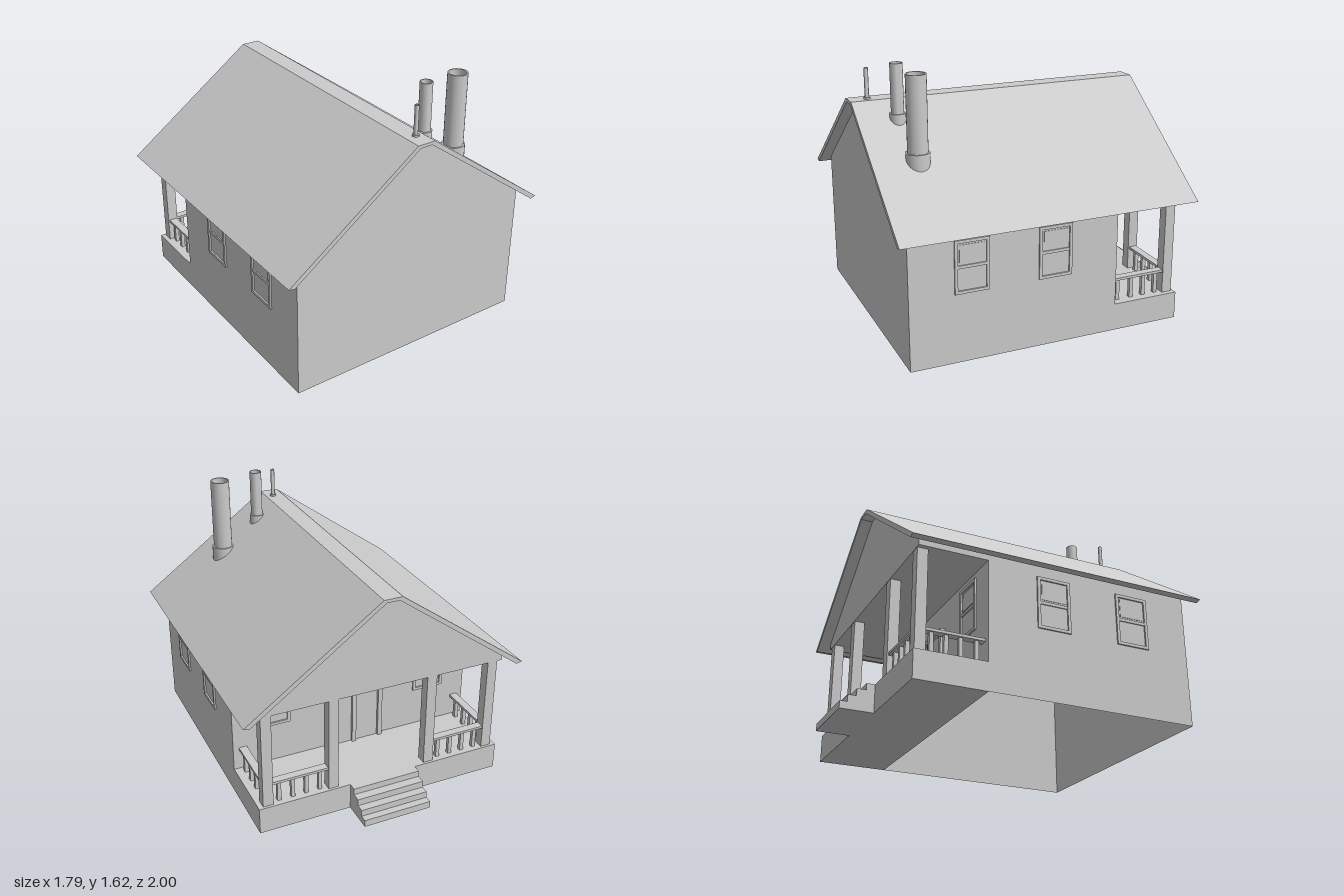
import * as THREE from 'three';
import { toCreasedNormals } from 'three/addons/utils/BufferGeometryUtils.js';

const mat = new THREE.MeshStandardMaterial({ color: 0xcccccc });
const sheetMat = new THREE.MeshStandardMaterial({ color: 0xcccccc, side: THREE.DoubleSide });

const W = 0.797, FRONT = 0.93, BACK = -0.37, PORCH = -0.8, DECK = 0.17, EAVE = 0.78;

function add(parent, name, geometry, material = mat) {
  const mesh = new THREE.Mesh(geometry, material);
  mesh.name = name;
  parent.add(mesh);
  return mesh;
}

function box(parent, name, x0, x1, y0, y1, z0, z1) {
  const mesh = add(parent, name, new THREE.BoxGeometry(x1 - x0, y1 - y0, z1 - z0));
  mesh.position.set((x0 + x1) / 2, (y0 + y1) / 2, (z0 + z1) / 2);
  return mesh;
}

function group(parent, name) {
  const g = new THREE.Group();
  g.name = name;
  parent.add(g);
  return g;
}

const polygon = (pts) => new THREE.Shape(pts.map(([x, y]) => new THREE.Vector2(x, y)));

// Height of the roof's upper face at x
const roofY = (x) => Math.min(1.39, 1.39 - (Math.abs(x) - 0.058) * 0.727);

// Sash window standing on the plane z = 0, facing +z
function makeWindow(parent, w = 0.21, y0 = 0.425, y1 = 0.745) {
  const g = group(parent, 'window');
  const h = w / 2, t = 0.018, d = 0.01, mid = (y0 + y1) / 2;
  const ring = polygon([[-h, y0], [h, y0], [h, y1], [-h, y1]]);
  ring.holes.push(polygon([[-h + t, y0 + t], [-h + t, y1 - t], [h - t, y1 - t], [h - t, y0 + t]]));
  add(g, 'windowCasing', new THREE.ExtrudeGeometry(ring, { depth: d, bevelEnabled: false }));
  box(g, 'meetingRail', -h + t, h - t, mid - 0.009, mid + 0.009, 0, 0.007);
  box(g, 'upperPane', -h + t + 0.012, h - t - 0.012, mid + 0.02, y1 - t - 0.012, 0, 0.003);
  return g;
}

// Hollow pipe with a collar whose foot follows the roof slope
function makePipe(parent, name, x, z, r, top, collarR, collarTop) {
  const foot = 0;
  const pts = [[collarR, foot], [collarR, collarTop], [r, collarTop], [r, top],
    [r * 0.85, top], [r * 0.85, collarTop], [0, collarTop]];
  const geo = new THREE.LatheGeometry(pts.map(([a, b]) => new THREE.Vector2(a, b)), 24);
  const p = geo.attributes.position;
  for (let i = 0; i < p.count; i++) {
    if (p.getY(i) < 0.01) p.setY(i, roofY(x + p.getX(i)) - 0.008);
  }
  add(parent, name, toCreasedNormals(geo, 0.6)).position.set(x, 0, z);
}

export function createModel() {
  const house = new THREE.Group();
  house.name = 'house';

  // Wall shell, open underneath
  const walls = group(house, 'walls');
  const gableTop = [[W, 0.82], [0.04, 1.372], [-0.04, 1.372], [-W, 0.82]];
  const pentagon = polygon([[-W, 0], [W, 0], ...gableTop]);
  add(walls, 'frontWall', new THREE.ShapeGeometry(pentagon), sheetMat).position.z = FRONT;
  add(walls, 'backWall', new THREE.ShapeGeometry(pentagon), sheetMat).position.z = BACK;
  for (const s of [-1, 1]) {
    const side = add(walls, 'sideWall', new THREE.PlaneGeometry(FRONT - BACK, 0.82), sheetMat);
    side.rotation.y = s * Math.PI / 2;
    side.position.set(s * W, 0.41, (FRONT + BACK) / 2);
  }

  // Roof: one folded slab with a flat ridge
  const roofShape = polygon([[0.893, 0.785], [0.058, 1.39], [-0.058, 1.39], [-0.893, 0.785],
    [-0.855, 0.777], [-0.04, 1.37], [0.04, 1.37], [0.855, 0.777]]);
  add(house, 'roof', new THREE.ExtrudeGeometry(roofShape, { depth: 1.86, bevelEnabled: false })).position.z = -0.86;

  // Porch gable, whose underside is the porch ceiling
  const gable = polygon([[-W, EAVE], [W, EAVE], ...gableTop]);
  add(house, 'porchGable', new THREE.ExtrudeGeometry(gable, { depth: 0.415, bevelEnabled: false })).position.z = -0.787;

  // Windows on both sides and on the porch wall
  for (const s of [-1, 1]) {
    for (const z of [0.555, 0.037]) {
      const win = makeWindow(house);
      win.position.set(s * W, 0, z);
      win.rotation.y = s * Math.PI / 2;
    }
    const back = makeWindow(house);
    back.position.set(s * 0.53, 0, BACK);
    back.rotation.y = Math.PI;
  }

  // Double door
  const door = group(house, 'doubleDoor');
  for (const x of [-0.18, 0, 0.18]) box(door, 'doorJamb', x - 0.014, x + 0.014, DECK, 0.61, BACK - 0.03, BACK);
  box(door, 'doorHead', -0.194, 0.194, 0.585, 0.61, BACK - 0.03, BACK);
  for (const x of [-0.09, 0.09]) box(door, 'doorLeaf', x - 0.078, x + 0.078, DECK, 0.588, BACK - 0.012, BACK);

  // Porch deck and steps
  const porch = group(house, 'porch');
  box(porch, 'deck', -W, W, 0, DECK, PORCH, BACK);
  [[0.17, -0.85], [0.13, -0.905], [0.087, -0.955], [0.045, -1]].forEach(([y, z], i, a) =>
    box(porch, 'step', -0.22, 0.217, 0, y, z, i ? a[i - 1][1] : PORCH));

  // Posts and railings, mirrored
  for (const s of [-1, 1]) {
    for (const x of [0.32, 0.735]) {
      box(porch, 'post', s * x - 0.032, s * x + 0.032, DECK, EAVE, -0.784, -0.72);
    }
    box(porch, 'sideRail', s * 0.735 - 0.025, s * 0.735 + 0.025, 0.302, 0.318, -0.72, BACK);
    for (const z of [-0.415, -0.51, -0.595, -0.68]) {
      box(porch, 'baluster', s * 0.735 - 0.012, s * 0.735 + 0.012, DECK, 0.302, z - 0.012, z + 0.012);
    }
    const mid = s * 0.5275;
    box(porch, 'backRail', mid - 0.176, mid + 0.176, 0.302, 0.318, -0.777, -0.727);
    for (const dx of [-0.13, -0.043, 0.043, 0.13]) {
      box(porch, 'baluster', mid + dx - 0.012, mid + dx + 0.012, DECK, 0.302, -0.764, -0.74);
    }
  }

  // Roof pipes
  makePipe(house, 'largeFlue', 0.437, 0.73, 0.06, 1.61, 0.07, 1.16);
  makePipe(house, 'smallFlue', 0.18, 0.76, 0.038, 1.625, 0.047, 1.33);
  makePipe(house, 'ventPipe', 0.01, 0.89, 0.013, 1.575, 0.021, 1.4);

  return house;
}
